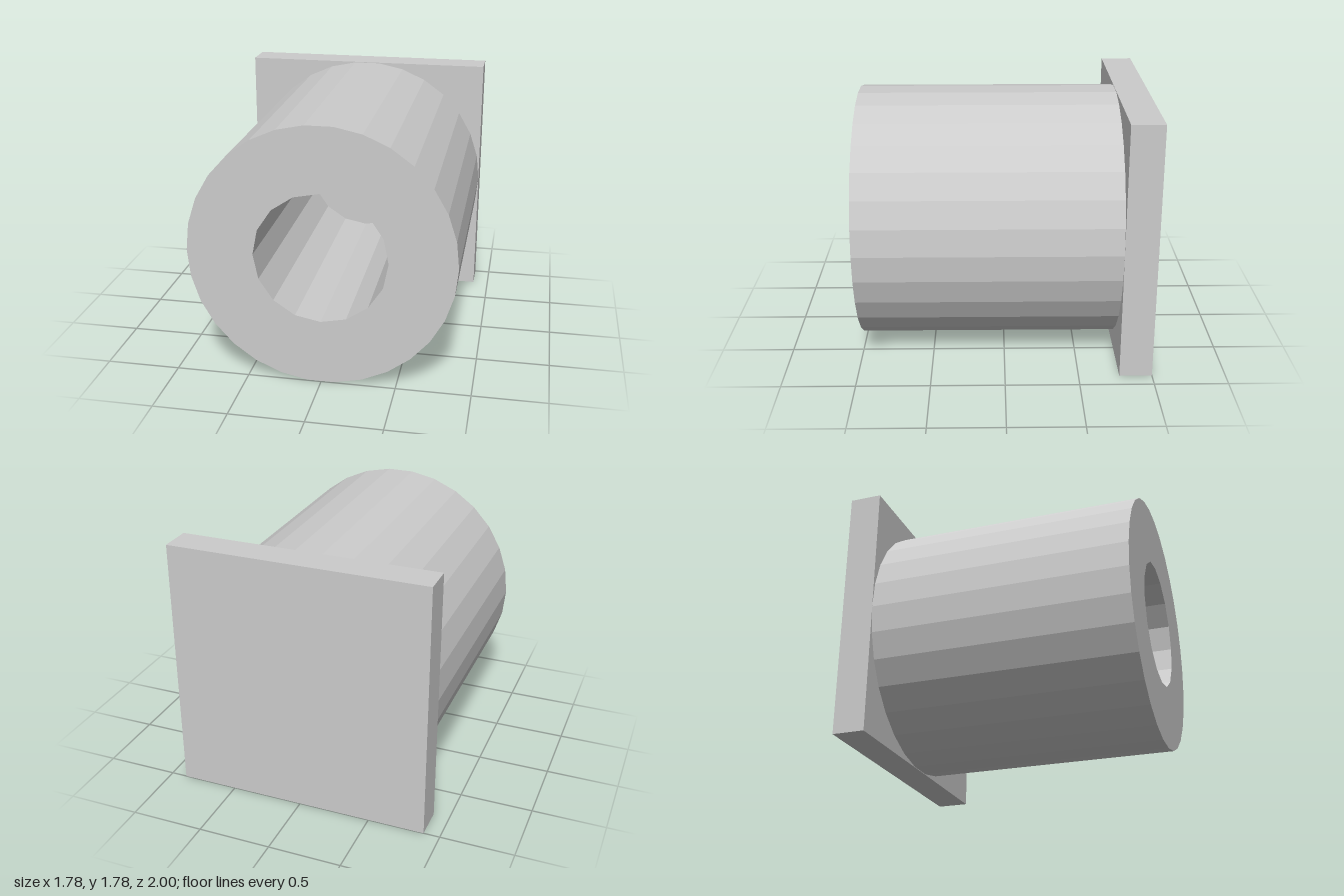
import * as THREE from 'three';

const UNIT = 2 / 9;          // the model is 9 units long
const RADIUS = 4 * UNIT;     // outer radius, also half the plate width
const BORE = 2 * UNIT;
const PLATE = UNIT;          // plate thickness
const LENGTH = 8 * UNIT;     // barrel length

// Corners of a regular polygon, the first on +x
function ring(radius, sides) {
  return Array.from({ length: sides }, (_, i) => {
    const a = (i / sides) * Math.PI * 2;
    return new THREE.Vector2(Math.cos(a) * radius, Math.sin(a) * radius);
  });
}

export function createModel() {
  const model = new THREE.Group();
  model.name = 'flangedBushing';
  const material = new THREE.MeshStandardMaterial({ color: 0xcccccc, flatShading: true });

  // Square mounting plate, closing the back of the bore
  const plate = new THREE.Mesh(new THREE.BoxGeometry(2 * RADIUS, 2 * RADIUS, PLATE), material);
  plate.name = 'mountingPlate';
  plate.position.set(0, RADIUS, -1 + PLATE / 2);

  // 30-sided barrel with a 16-sided bore
  const section = new THREE.Shape(ring(RADIUS, 30));
  section.holes.push(new THREE.Path(ring(BORE, 16).reverse()));
  const barrel = new THREE.Mesh(
    new THREE.ExtrudeGeometry(section, { depth: LENGTH, bevelEnabled: false }),
    material
  );
  barrel.name = 'barrel';
  barrel.position.set(0, RADIUS, -1 + PLATE);

  model.add(plate, barrel);
  return model;
}
